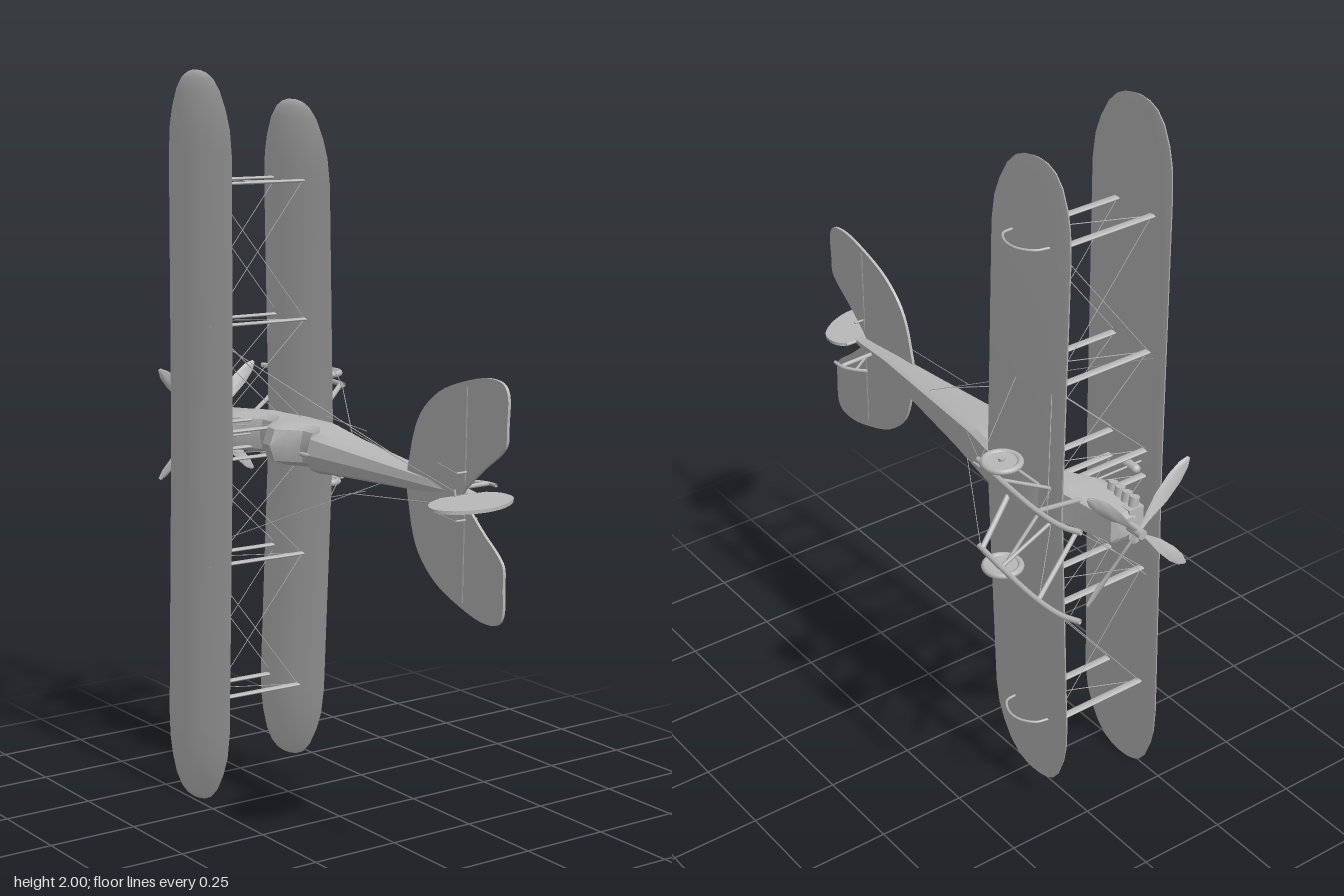
import * as THREE from 'three';
import { toCreasedNormals } from 'three/addons/utils/BufferGeometryUtils.js';

// Local frame: nose at -x, span along y (0 = centre line), sky side at +z.
const V = (x, y, z) => new THREE.Vector3(x, y, z);

// Skin over rings of equal point count, with both ends capped
function loft(rings, crease = 0.6) {
  const n = rings[0].length, pos = [], idx = [];
  rings.forEach(r => r.forEach(p => pos.push(p.x, p.y, p.z)));
  for (let i = 0; i < rings.length - 1; i++)
    for (let j = 0; j < n; j++) {
      const a = i * n + j, b = i * n + (j + 1) % n;
      idx.push(a, b, a + n, b, b + n, a + n);
    }
  const last = (rings.length - 1) * n;
  for (let j = 1; j < n - 1; j++) idx.push(0, j + 1, j, last, last + j, last + j + 1);
  const g = new THREE.BufferGeometry();
  g.setAttribute('position', new THREE.Float32BufferAttribute(pos, 3));
  g.setIndex(idx);
  return toCreasedNormals(g, crease);
}

// Cambered wing with rounded tips and slight dihedral
function wingGeometry(half, lead, trail, zLead, zTrail, dihedral) {
  // distance from tip, leading edge inset, trailing edge inset
  const tip = [[0, 0.11, 0.145], [0.006, 0.085, 0.115], [0.02, 0.06, 0.085], [0.05, 0.036, 0.055],
    [0.1, 0.016, 0.027], [0.15, 0.005, 0.009], [0.22, 0, 0]];
  const right = tip.map(([d, a, b]) => [half - d, lead + a, trail - b]);
  const stations = [...right.map(([s, a, b]) => [-s, a, b]), [0, lead, trail], ...right.reverse()];
  const ts = [0, 0.02, 0.08, 0.18, 0.35, 0.6, 0.85, 1];
  return loft(stations.map(([s, a, b]) => {
    const k = (b - a) / (trail - lead);
    const point = (t, camber) => {
      const x = a + (b - a) * t, u = (x - lead) / (trail - lead);
      const bulge = Math.sqrt(t) * (1 - t) * 2.6 * camber * k;
      return V(x, s, zLead + (zTrail - zLead) * u + dihedral * Math.abs(s) + bulge);
    };
    return [...ts.map(t => point(t, 0.024)), ...ts.slice(1, -1).reverse().map(t => point(t, -0.001))];
  }), 0.8);
}

// Smooth closed outline extruded to a thin plate
function plate(points, depth) {
  const curve = new THREE.CatmullRomCurve3(points.map(([x, y]) => V(x, y, 0)), true, 'centripetal');
  const shape = new THREE.Shape(curve.getPoints(60).map(p => new THREE.Vector2(p.x, p.y)));
  const g = new THREE.ExtrudeGeometry(shape, { depth, bevelEnabled: false });
  return g.translate(0, 0, -depth / 2);
}

export function createModel() {
  const root = new THREE.Group();
  root.name = 'biplane';
  const craft = new THREE.Group();
  craft.name = 'airframe';
  craft.position.set(0, 1.003, 0);
  craft.rotation.set(-0.008, 0, -0.011);
  root.add(craft);

  const grey = new THREE.MeshStandardMaterial({ color: 0xb8b8b8, side: THREE.DoubleSide });
  grey.name = 'plain grey';

  const add = (name, geo) => {
    const m = new THREE.Mesh(geo, grey);
    m.name = name;
    craft.add(m);
    return m;
  };
  // Round or flattened bar between two points
  const rod = (name, a, b, r, flatX = 1, sides = 8) => {
    const A = V(...a), B = V(...b), d = B.clone().sub(A);
    const m = add(name, new THREE.CylinderGeometry(r, r, d.length(), sides));
    m.position.copy(A).add(B).multiplyScalar(0.5);
    m.quaternion.setFromUnitVectors(V(0, 1, 0), d.normalize());
    m.scale.x = flatX;
    return m;
  };
  const wire = (a, b) => rod('braceWire', a, b, 0.0012, 1, 4);
  const tube = (name, pts, r) =>
    add(name, new THREE.TubeGeometry(new THREE.CatmullRomCurve3(pts.map(p => V(...p))), 24, r, 8));

  // Wings
  add('upperWing', wingGeometry(1, -0.48, -0.193, 0.224, 0.211, 0.008));
  add('lowerWing', wingGeometry(0.92, -0.475, -0.185, -0.093, -0.108, 0.03));

  // Fuselage stations: x, bottom, top, half width; the low tops are the two cockpits
  const stations = [
    [-0.62, -0.03, 0.03, 0.025], [-0.61, -0.045, 0.042, 0.04], [-0.5, -0.066, 0.062, 0.05],
    [-0.46, -0.076, 0.06, 0.054], [-0.43, -0.085, 0.04, 0.055], [-0.38, -0.1, 0.004, 0.056],
    [-0.33, -0.106, 0.004, 0.057], [-0.29, -0.11, 0.05, 0.058], [-0.27, -0.111, 0.066, 0.058],
    [-0.23, -0.112, 0.07, 0.058], [-0.2, -0.11, 0.04, 0.058], [-0.17, -0.107, 0.012, 0.058],
    [-0.13, -0.1, 0.006, 0.057], [-0.1, -0.095, 0.035, 0.056], [-0.07, -0.09, 0.06, 0.055],
    [0, -0.08, 0.052, 0.048], [0.2, -0.056, 0.036, 0.035], [0.4, -0.032, 0.022, 0.022],
    [0.565, -0.018, 0.01, 0.006]];
  add('fuselage', loft(stations.map(([x, b, t, w]) => {
    const h = t - b;
    const half = [[0.8 * w, b], [w, b + 0.15 * h], [w, t - 0.3 * h], [0.75 * w, t - 0.09 * h]];
    return [...half.map(([y, z]) => V(x, y, z)), V(x, 0, t),
      ...half.reverse().map(([y, z]) => V(x, -y, z))];
  }), 0.5));
  const coaming = add('cockpitCoaming', new THREE.TorusGeometry(0.05, 0.006, 8, 20, Math.PI));
  coaming.position.set(-0.09, 0, 0.012);
  coaming.rotation.set(Math.PI / 2, Math.PI / 2, 0, 'YXZ');

  // Engine and propeller
  add('engineBlock', new THREE.BoxGeometry(0.115, 0.085, 0.045)).position.set(-0.56, 0, 0.03);
  rod('propellerShaft', [-0.67, 0, 0.008], [-0.6, 0, 0.008], 0.013, 1, 14);
  const blade = [[0, 0.012, 1], [0.04, 0.016, 0.9], [0.1, 0.036, 0.55], [0.16, 0.04, 0.4],
    [0.2, 0.03, 0.32], [0.222, 0.01, 0.28]];
  const bladeGeo = loft(blade.map(([r, w, twist]) => [0, 1, 2, 3, 4, 5, 6, 7].map(i => {
    const a = i * Math.PI / 4, u = Math.cos(a) * w / 2, v = Math.sin(a) * 0.004;
    return V(u * Math.sin(twist) + v * Math.cos(twist), u * Math.cos(twist) - v * Math.sin(twist), r);
  })), 1);
  for (let i = 0; i < 4; i++) {
    const b = add('propellerBlade', bladeGeo);
    b.position.set(-0.65, 0, 0.008);
    b.rotation.x = Math.PI / 4 + i * Math.PI / 2;
  }

  // Everything mirrored about the centre line
  for (const m of [1, -1]) {
    for (let i = 0; i < 4; i++) {
      const x = -0.6 + i * 0.028;
      rod('engineCylinder', [x, m * 0.03, 0.03], [x, m * 0.066, 0.038], 0.013, 1, 14);
    }

    // Interplane and centre struts
    const spars = [-0.415, -0.285];
    const low = s => -0.088 + 0.03 * s;
    for (const x of spars) {
      for (const s of [0.328, 0.705])
        rod('interplaneStrut', [x, m * s, low(s)], [x, m * s, 0.232], 0.0045, 2.6, 10);
      rod('centreStrut', [x, m * 0.038, -0.02], [x, m * 0.038, 0.228], 0.0045, 2.6, 10);
      for (const [s0, s1] of [[0.04, 0.328], [0.328, 0.705]]) {
        wire([x, m * s0, low(s0)], [x, m * s1, 0.225]);
        wire([x, m * s1, low(s1)], [x, m * s0, 0.225]);
      }
    }
    for (const s of [0.038, 0.328, 0.705]) wire([spars[0], m * s, 0.222], [spars[1], m * s, low(s)]);

    // Wing tip hoops
    const s = m * 0.705;
    tube('wingTipHoop', [[-0.4, s, -0.075], [-0.39, s, -0.11], [-0.35, s, -0.138], [-0.31, s, -0.138],
      [-0.27, s, -0.115], [-0.265, s, -0.085]], 0.0035);

    // Landing gear
    const k = m * 0.13;
    tube('landingSkid', [[-0.72, k, -0.225], [-0.67, k, -0.246], [-0.59, k, -0.253], [-0.44, k, -0.243],
      [-0.31, k, -0.228]], 0.0075);
    rod('frontGearStrut', [-0.5, m * 0.04, -0.055], [-0.585, k, -0.248], 0.0065);
    rod('middleGearStrut', [-0.43, m * 0.045, -0.08], [-0.42, k, -0.24], 0.005);
    rod('rearGearStrut', [-0.27, m * 0.045, -0.105], [-0.325, k, -0.23], 0.0075);
    rod('axle', [-0.388, m * 0.045, -0.1], [-0.388, m * 0.165, -0.213], 0.005);
    const tyre = add('wheelTyre', new THREE.TorusGeometry(0.046, 0.009, 10, 28));
    tyre.position.set(-0.388, m * 0.155, -0.212);
    tyre.rotation.x = Math.PI / 2;
    const disc = add('wheelDisc', new THREE.CylinderGeometry(0.044, 0.044, 0.009, 28));
    disc.position.copy(tyre.position);
    rod('wheelHub', [-0.388, m * 0.146, -0.212], [-0.388, m * 0.167, -0.212], 0.009);

    // Bracing and control wires
    wire([-0.62, k, -0.25], [-0.415, m * 0.328, low(0.328)]);
    wire([-0.32, k, -0.23], [-0.285, m * 0.328, low(0.328)]);
    wire([-0.585, k, -0.248], [-0.42, m * 0.045, -0.08]);
    wire([-0.32, k, -0.23], [-0.07, m * 0.04, -0.09]);
    wire([-0.45, m * 0.328, 0.21], [0.18, m * 0.03, -0.05]);
    wire([0.08, m * 0.08, -0.03], [-0.02, m * 0.11, 0.03]);
    wire([0.06, m * 0.085, 0.01], [0.56, m * 0.018, 0.055]);
    rod('rudderHorn', [0.57, 0, 0.055], [0.565, m * 0.022, 0.055], 0.003);
    rod('elevatorHorn', [0.56, m * 0.06, -0.02], [0.56, m * 0.06, 0.045], 0.003);
    wire([0.42, m * 0.065, 0.01], [0.56, m * 0.06, 0.045]);

    // Tailplane half with its hinge
    const tail = [[0.325, 0], [0.33, 0.07], [0.365, 0.17], [0.44, 0.24], [0.55, 0.284], [0.64, 0.303],
      [0.695, 0.295], [0.712, 0.27], [0.712, 0.2], [0.71, 0.15], [0.69, 0.125], [0.63, 0.08],
      [0.56, 0.02], [0.54, 0]].map(([x, y]) => [x, m * y]);
    add('tailplane', plate(tail, 0.008)).position.z = 0.012;
    rod('elevatorHinge', [0.555, m * 0.03, 0.012], [0.555, m * 0.27, 0.012], 0.0055);
  }

  // Rudder
  const rudder = add('rudder', plate([[0.562, 0], [0.564, -0.05], [0.59, -0.072], [0.64, -0.068], [0.685, -0.02],
    [0.713, 0.05], [0.71, 0.12], [0.685, 0.168], [0.65, 0.186], [0.605, 0.165], [0.57, 0.115],
    [0.562, 0.06]], 0.009));
  rudder.rotation.x = Math.PI / 2;
  rod('rudderPost', [0.562, 0, -0.05], [0.562, 0, 0.1], 0.005);

  // Tail skid, belly step and header tank
  tube('tailSkid', [[0.405, 0, -0.085], [0.43, 0, -0.108], [0.465, 0, -0.127], [0.5, 0, -0.128]], 0.005);
  rod('tailSkidPost', [0.47, 0, -0.125], [0.475, 0, -0.02], 0.006);
  rod('tailSkidBrace', [0.43, 0, -0.105], [0.475, 0, -0.04], 0.004);
  rod('bellyStep', [-0.175, 0, -0.127], [-0.15, 0, -0.127], 0.003);
  rod('bellyStepPost', [-0.165, 0, -0.127], [-0.155, 0, -0.1], 0.003);
  const tank = add('headerTank', new THREE.CapsuleGeometry(0.013, 0.04, 6, 14));
  tank.position.set(-0.405, 0, 0.185);
  tank.rotation.z = Math.PI / 2;
  rod('headerTankPost', [-0.405, 0, 0.02], [-0.405, 0, 0.23], 0.003);

  return root;
}
